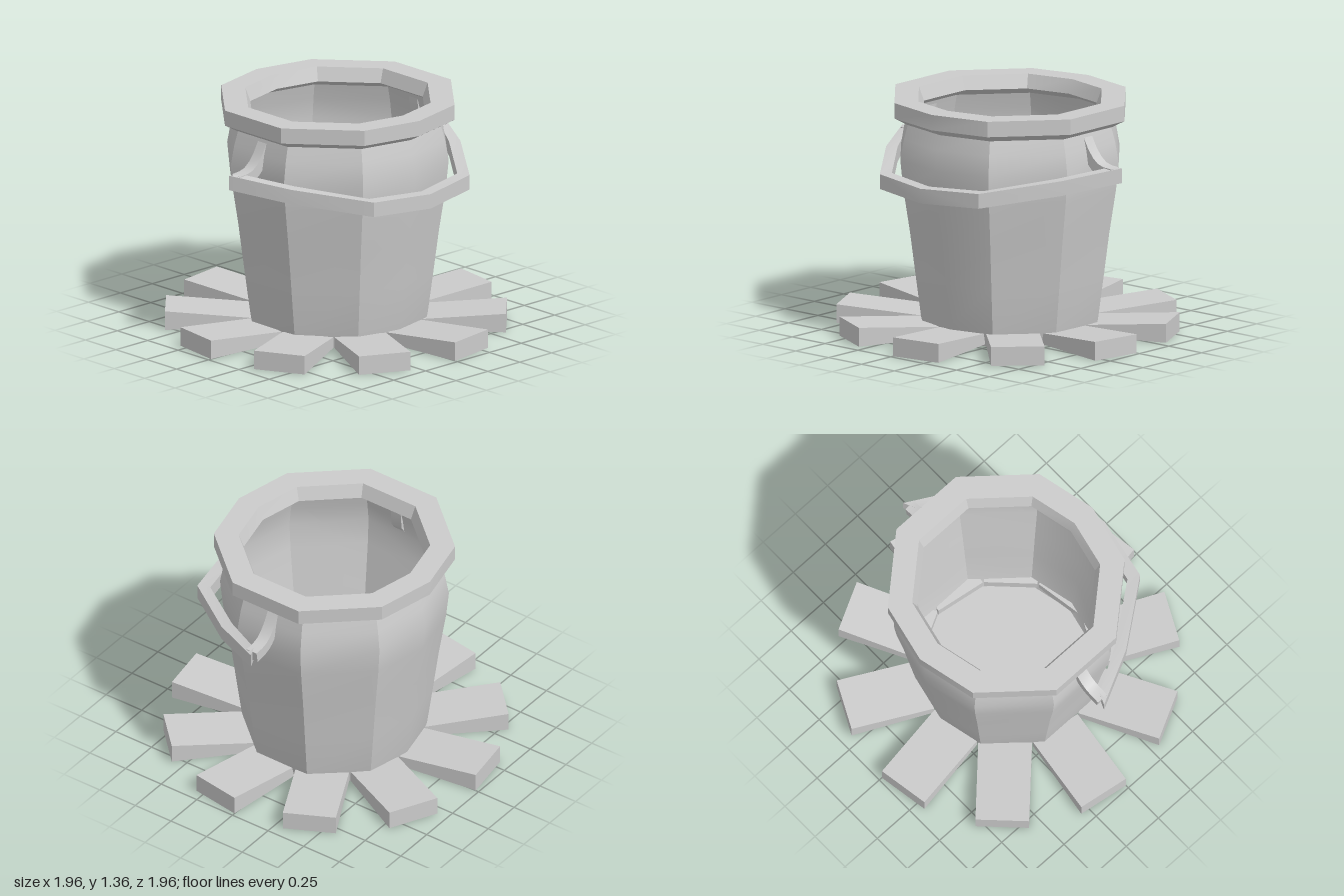
import * as THREE from 'three';
import { toCreasedNormals } from 'three/addons/utils/BufferGeometryUtils.js';

const material = new THREE.MeshStandardMaterial({ color: 0xcccccc, side: THREE.DoubleSide });
const CREASE = THREE.MathUtils.degToRad(30);

// Skins a list of closed rings that all have the same number of points.
function loft(rings) {
  const n = rings[0].length;
  const index = [];
  for (let i = 0; i < rings.length - 1; i++) {
    for (let j = 0; j < n; j++) {
      const k = (j + 1) % n;
      const a = i * n + j, b = i * n + k, c = (i + 1) * n + k, d = (i + 1) * n + j;
      index.push(a, b, c, a, c, d);
    }
  }
  const geometry = new THREE.BufferGeometry();
  geometry.setAttribute('position', new THREE.Float32BufferAttribute(rings.flat(2), 3));
  geometry.setIndex(index);
  return toCreasedNormals(geometry, CREASE);
}

// Slightly irregular ten-sided outline (x, z), of radius one along z.
const quarter = [[0, 1], [0.527, 0.88], [0.993, 0.345]];
const outline = [
  ...quarter,
  [0.993, -0.345], [0.527, -0.88], [0, -1], [-0.527, -0.88], [-0.993, -0.345],
  [-0.993, 0.345], [-0.527, 0.88],
];
const ring = ([r, y]) => outline.map(([x, z]) => [x * r, y, z * r]);

function addMesh(parent, name, geometry) {
  const mesh = new THREE.Mesh(geometry, material);
  mesh.name = name;
  parent.add(mesh);
  return mesh;
}

export function createModel() {
  const model = new THREE.Group();
  model.name = 'bucketWithPlanks';

  const bucket = new THREE.Group();
  bucket.name = 'bucket';
  bucket.position.x = 0.015;
  model.add(bucket);

  // Thin bulging wall with a closed floor
  const wall = [[0, 0], [0.492, 0], [0.515, 0.1], [0.548, 0.35], [0.58, 0.6],
    [0.62, 0.86], [0.636, 1.02], [0.615, 1.14], [0.585, 1.25]];
  addMesh(bucket, 'wall', loft(wall.map(ring)));

  // Heavy rim, chamfered below and sloping inwards at the opening
  const rim = [[0.6, 1.225], [0.67, 1.265], [0.67, 1.355], [0.532, 1.355],
    [0.503, 1.275], [0.6, 1.225]];
  addMesh(bucket, 'rim', loft(rim.map(ring)));

  // Swinging handle, hanging across the front: outer x, z, inner x, z, middle y
  const half = [[0.835, -0.02, 0.765, 0.01, 1.01], [0.665, 0.31, 0.605, 0.28, 0.965],
    [0.375, 0.69, 0.345, 0.62, 0.912]];
  const stations = [
    ...half.map(([a, b, c, d, y]) => [-a, b, -c, d, y]),
    [0, 0.765, 0, 0.69, 0.898],
    ...half.slice().reverse(),
  ];
  const h = 0.043;
  const sections = stations.map(([ox, oz, ix, iz, y]) =>
    [[ox, y + h, oz], [ox, y - h, oz], [ix, y - h, iz], [ix, y + h, iz]]);
  const cap = ([ox, oz, ix, iz, y]) => Array(4).fill([(ox + ix) / 2, y, (oz + iz) / 2]);
  addMesh(bucket, 'handle', loft([cap(stations[0]), ...sections, cap(stations[6])]));

  // Curved hooks that carry the handle
  const hook = new THREE.Shape();
  hook.moveTo(0.59, 1.21);
  hook.quadraticCurveTo(0.66, 1.06, 0.74, 1.055);
  hook.lineTo(0.8, 1.05);
  hook.lineTo(0.79, 0.985);
  hook.lineTo(0.71, 0.995);
  hook.quadraticCurveTo(0.645, 1.01, 0.6, 1.09);
  const hookGeometry = new THREE.ExtrudeGeometry(hook,
    { depth: 0.07, bevelEnabled: false, curveSegments: 4 });
  hookGeometry.translate(0, 0, -0.035);
  addMesh(bucket, 'leftHook', toCreasedNormals(hookGeometry, CREASE));
  const rightHook = addMesh(bucket, 'rightHook', toCreasedNormals(hookGeometry, CREASE));
  rightHook.rotation.y = Math.PI;

  // Ten planks spread around the foot, each thinner at its inner end
  const inner = 0.48, outer = 0.968, thickness = 0.11;
  const plank = new THREE.BoxGeometry(0.305, thickness, outer - inner);
  plank.translate(0, thickness / 2, (inner + outer) / 2);
  const p = plank.attributes.position;
  for (let i = 0; i < p.count; i++) {
    if (p.getZ(i) < 0.6) p.setY(i, p.getY(i) > 0.05 ? 0.075 : 0.012);
  }
  plank.computeVertexNormals();
  const planks = new THREE.Group();
  planks.name = 'planks';
  model.add(planks);
  for (let i = 0; i < 10; i++) {
    addMesh(planks, 'plank', plank).rotation.y = THREE.MathUtils.degToRad(9 + 36 * i);
  }

  return model;
}
